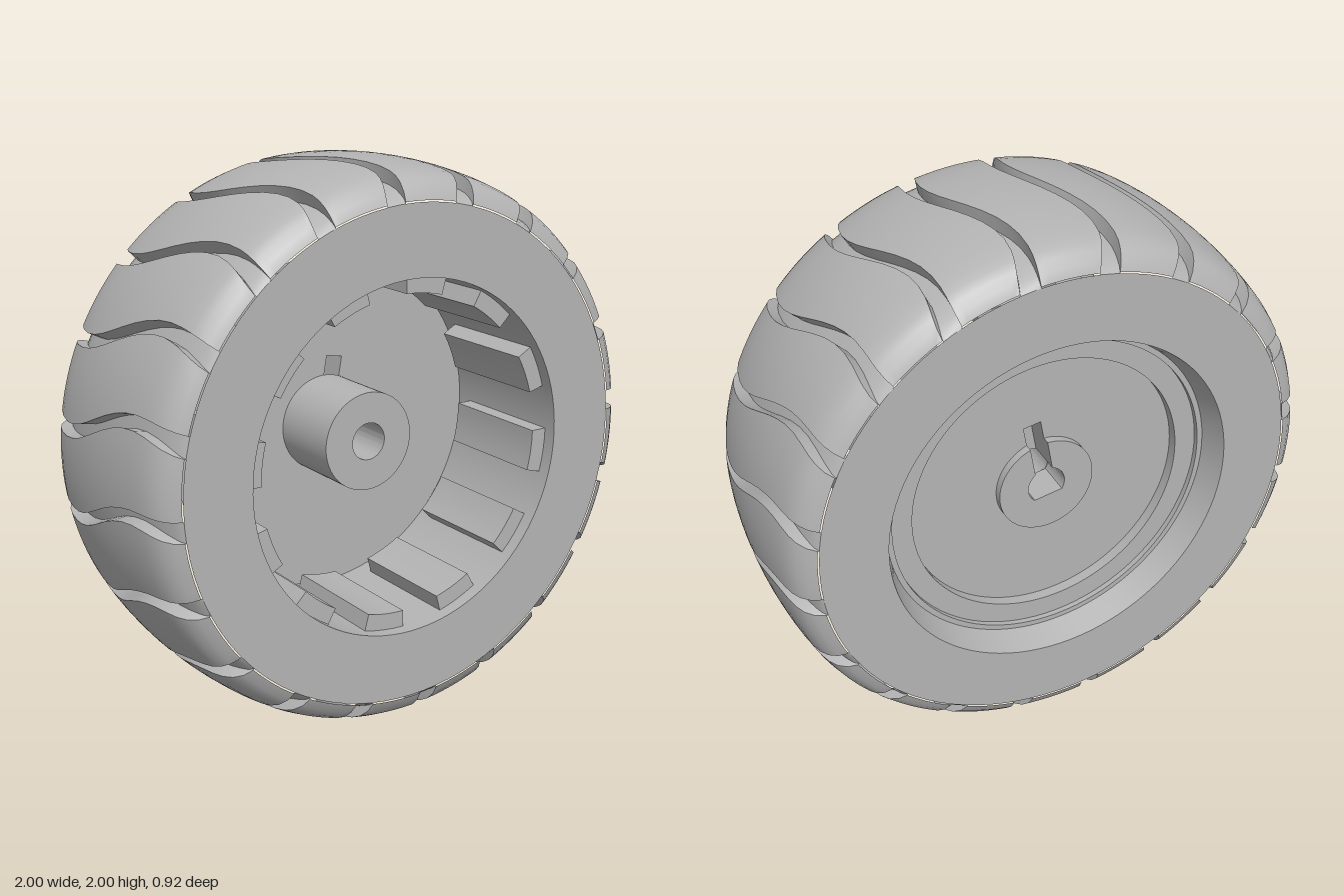
import * as THREE from 'three';
import { toCreasedNormals } from 'three/addons/utils/BufferGeometryUtils.js';

const TAU = Math.PI * 2, DEG = Math.PI / 180;
const HALF_WIDTH = 0.41, GROOVES = 20;
const FLOOR_FRONT = -0.15, FLOOR_BACK = -0.25;

export function createModel() {
  const grey = new THREE.MeshStandardMaterial({ color: 0xb4b4b4 });
  grey.name = 'grey';
  const model = new THREE.Group();
  model.name = 'wheel';
  const axle = new THREE.Group();
  axle.name = 'wheelAssembly';
  axle.position.y = 1;
  axle.rotation.y = -0.06;
  model.add(axle);

  const add = (name, geometry, crease = 0.5) => {
    const mesh = new THREE.Mesh(toCreasedNormals(geometry, crease), grey);
    mesh.name = name;
    axle.add(mesh);
    return mesh;
  };
  // solid prism of a shape between two depths along the axle
  const prism = (shape, z0, z1, curveSegments = 32) => {
    const g = new THREE.ExtrudeGeometry(shape, { depth: z1 - z0, bevelEnabled: false, curveSegments });
    return g.translate(0, 0, z0);
  };
  // surface of revolution around the axle from [radius, z] points
  const turned = points => new THREE.LatheGeometry(points.map(p => new THREE.Vector2(...p)), 96).rotateX(Math.PI / 2);

  add('tread', treadGeometry(), 0.6);

  // side walls and the stepped openings
  add('frontRim', turned([[0.88, HALF_WIDTH], [0.63, HALF_WIDTH], [0.63, FLOOR_FRONT], [0.5, FLOOR_FRONT]]));
  add('backRim', turned([[0.5, FLOOR_BACK], [0.51, FLOOR_BACK], [0.51, -0.29], [0.59, -0.29], [0.59, -0.31],
    [0.61, -0.31], [0.64, -HALF_WIDTH], [0.88, -HALF_WIDTH]]));

  // web plate with the keyed shaft hole and slot
  const web = new THREE.Shape().absarc(0, 0, 0.51, 0, TAU);
  const key = new THREE.Path();
  key.moveTo(0.033, 0.25).lineTo(-0.033, 0.25);
  keyHole(key);
  key.closePath();
  web.holes.push(key);
  add('web', prism(web, FLOOR_BACK, FLOOR_FRONT)).rotation.z = -10 * DEG;

  // raised back boss, split by the slot
  const boss = new THREE.Shape();
  const a = Math.acos(0.033 / 0.18);
  boss.absarc(0, 0, 0.18, a, Math.PI - a, true);
  keyHole(boss);
  boss.closePath();
  add('backBoss', prism(boss, FLOOR_BACK - 0.03, FLOOR_BACK)).rotation.z = -10 * DEG;

  // front hub tube
  const hub = new THREE.Shape().absarc(0, 0, 0.18, 0, TAU);
  hub.holes.push(new THREE.Path().absarc(0, 0, 0.068, 0, TAU));
  add('hub', prism(hub, FLOOR_FRONT, 0.14));

  // twelve pads around the inside wall
  const pad = new THREE.Shape();
  pad.absarc(0, 0, 0.64, 15 * DEG, 30 * DEG, false);
  pad.absarc(0, 0, 0.57, 30 * DEG, 15 * DEG, true);
  pad.closePath();
  for (let i = 0; i < 12; i++) add('innerPad', prism(pad, -0.08, 0.36, 4)).rotation.z = i * 30 * DEG;

  return model;
}

// left slot edge down to the hole, round the flat-sided hole, up to the right slot edge
function keyHole(path) {
  const r = 0.07, top = Math.acos(0.033 / r), flat = Math.asin(0.045 / r);
  path.absarc(0, 0, r, Math.PI - top, Math.PI + flat, false);
  path.absarc(0, 0, r, TAU - flat, TAU + top, false);
}

// crowned tread with wavy grooves running across it
function treadGeometry() {
  const half = [[0, 1, 0.945], [0.06, 0.999, 0.944], [0.12, 0.996, 0.942], [0.18, 0.991, 0.939],
    [0.24, 0.984, 0.934], [0.3, 0.974, 0.926], [0.34, 0.962, 0.917], [0.37, 0.945, 0.906],
    [0.395, 0.918, 0.894], [HALF_WIDTH, 0.885, 0.88]];
  const stations = [...half.slice(1).reverse().map(([z, t, f]) => [-z, t, f]), ...half];
  const pitch = 360 / GROOVES, topSteps = 8, n = stations.length;
  const position = [], index = [];
  let columns = 0;

  const column = (phiAt, level) => {
    for (const s of stations) {
      const phi = phiAt(s[0]) * DEG, r = s[level];
      position.push(r * Math.sin(phi), r * Math.cos(phi), s[0]);
    }
    columns++;
  };
  const halfGroove = z => 1.35 + 1.0 * Math.pow(Math.abs(z) / HALF_WIDTH, 4);
  for (let k = 0; k < GROOVES; k++) {
    const centre = z => k * pitch - 7.3 + 4 * Math.sin(Math.PI * z / 0.5);
    column(z => centre(z) - halfGroove(z), 2);
    column(z => centre(z) + halfGroove(z), 2);
    for (let i = 0; i <= topSteps; i++) {
      column(z => centre(z) + halfGroove(z) + (pitch - 2 * halfGroove(z)) * i / topSteps, 1);
    }
  }
  for (let c = 0; c < columns; c++) {
    const d = (c + 1) % columns;
    for (let j = 0; j < n - 1; j++) {
      const p = c * n + j, q = d * n + j;
      index.push(p, p + 1, q, q, p + 1, q + 1);
    }
  }
  const g = new THREE.BufferGeometry();
  g.setAttribute('position', new THREE.Float32BufferAttribute(position, 3));
  g.setIndex(index);
  return g;
}
